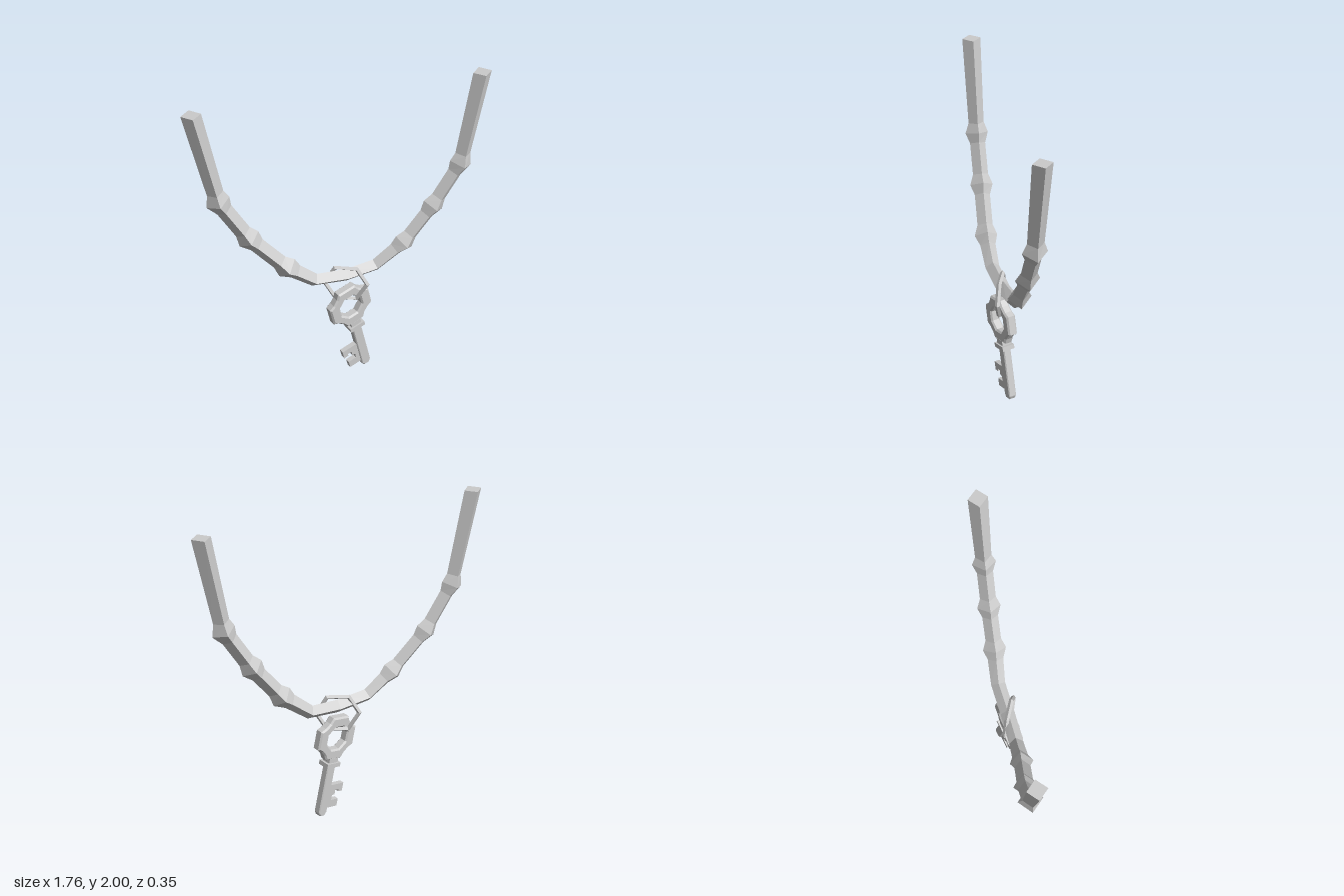
import * as THREE from 'three';

const material = new THREE.MeshStandardMaterial({ color: 0xcccccc, flatShading: true, side: THREE.DoubleSide });
const V = (x, y, z) => new THREE.Vector3(x, y, z);

function add(parent, name, geometry, x = 0, y = 0, z = 0) {
  const mesh = new THREE.Mesh(geometry, material);
  mesh.name = name;
  mesh.position.set(x, y, z);
  parent.add(mesh);
  return mesh;
}

// Loft a diamond section through rings of { p, t, r }
function loftDiamond(rings) {
  const B = V(0.15, 0, 0.99).normalize();
  const pos = [], idx = [];
  for (const { p, t, r } of rings) {
    const n = B.clone().cross(t).normalize();
    const b = t.clone().cross(n).normalize();
    for (const [dn, db] of [[1, 0], [0, 1], [-1, 0], [0, -1]]) {
      const c = p.clone().addScaledVector(n, dn * r).addScaledVector(b, db * r);
      pos.push(c.x, c.y, c.z);
    }
  }
  for (let i = 0; i < rings.length - 1; i++) {
    for (let j = 0; j < 4; j++) {
      const a = i * 4 + j, b = i * 4 + (j + 1) % 4;
      idx.push(a, b, b + 4, a, b + 4, a + 4);
    }
  }
  const e = (rings.length - 1) * 4;
  idx.push(0, 2, 1, 0, 3, 2, e, e + 1, e + 2, e, e + 2, e + 3);
  const g = new THREE.BufferGeometry();
  g.setAttribute('position', new THREE.Float32BufferAttribute(pos, 3));
  g.setIndex(idx);
  const flat = g.toNonIndexed();
  flat.computeVertexNormals();
  return flat;
}

// Hanging cord: the last value marks a knot
function cordGeometry() {
  const path = [
    [-0.825, 2, 0.118, 0], [-0.713, 1.42, 0.1, 1], [-0.55, 1.14, 0.085, 1], [-0.335, 0.9, 0.075, 1],
    [-0.17, 0.772, 0.05, 0], [0.03, 0.753, 0.005, 0], [0.215, 0.772, -0.045, 0],
    [0.39, 0.915, -0.06, 1], [0.565, 1.15, -0.085, 1], [0.722, 1.42, -0.105, 1], [0.82, 2, -0.125, 0],
  ];
  const pts = path.map(([x, y, z]) => V(x, y, z));
  const rings = [];
  pts.forEach((p, i) => {
    if (i === 0 || i === pts.length - 1) {
      rings.push({ p, t: V(0, i === 0 ? -1 : 1, 0), r: 0.056 });
      return;
    }
    const tin = p.clone().sub(pts[i - 1]).normalize();
    const tout = pts[i + 1].clone().sub(p).normalize();
    const t = tin.clone().add(tout).normalize();
    if (!path[i][3]) {
      rings.push({ p, t, r: 0.044 });
      return;
    }
    rings.push({ p: p.clone().addScaledVector(tin, -0.065), t: tin, r: 0.048 });
    rings.push({ p, t, r: 0.071 });
    rings.push({ p: p.clone().addScaledVector(tout, 0.065), t: tout, r: 0.048 });
  });
  return loftDiamond(rings);
}

const polar = (r, deg) => new THREE.Vector2(r * Math.cos(deg * Math.PI / 180), r * Math.sin(deg * Math.PI / 180));

function extrude(shape, depth, bevel) {
  const g = new THREE.ExtrudeGeometry(shape, {
    depth: depth - 2 * bevel, bevelEnabled: bevel > 0, bevelSize: bevel,
    bevelThickness: bevel, bevelOffset: -bevel, bevelSegments: 1,
  });
  return g.translate(0, 0, -depth / 2 + bevel);
}

function buildKey() {
  const key = new THREE.Group();
  key.name = 'key';

  // Four-lobed bow with an octagonal hole
  const outline = [], hole = [];
  for (let a = 0; a < 360; a += 90) {
    outline.push(polar(0.154, a - 23), polar(0.154, a + 23), polar(0.133, a + 36), polar(0.133, a + 54));
  }
  for (let a = 22.5; a < 360; a += 45) hole.push(polar(0.08, a));
  const bow = new THREE.Shape(outline);
  bow.holes.push(new THREE.Path(hole.reverse()));
  add(key, 'bow', extrude(bow, 0.06, 0.01));

  // Neck and collar
  add(key, 'neck', new THREE.BoxGeometry(0.07, 0.05, 0.06), 0, -0.158, 0);
  add(key, 'collar', new THREE.BoxGeometry(0.105, 0.028, 0.08), 0, -0.178, 0);

  // Shaft with chamfered tip
  const shaft = new THREE.Shape([[-0.032, -0.18], [-0.032, -0.515], [-0.018, -0.537],
    [0.018, -0.537], [0.032, -0.515], [0.032, -0.18]].map(([x, y]) => new THREE.Vector2(x, y)));
  add(key, 'shaft', extrude(shaft, 0.05, 0.006));

  // Two teeth joined by a short bar
  const bit = new THREE.Shape([[-0.02, -0.332], [-0.137, -0.332], [-0.137, -0.388], [-0.105, -0.388],
    [-0.105, -0.372], [-0.078, -0.372], [-0.078, -0.405], [-0.058, -0.405], [-0.058, -0.44],
    [-0.115, -0.44], [-0.115, -0.49], [-0.02, -0.49]].map(([x, y]) => new THREE.Vector2(x, y)));
  add(key, 'bit', extrude(bit, 0.032, 0));

  key.rotation.set(0, 0.42, 0.235, 'YXZ');
  key.position.set(0.045, 0.53, 0.015);
  return key;
}

export function createModel() {
  const model = new THREE.Group();
  model.name = 'keyOnCord';
  add(model, 'cord', cordGeometry());

  // Six-sided link joining cord and key
  const link = add(model, 'linkRing', new THREE.TorusGeometry(0.13, 0.015, 4, 6), 0.025, 0.697, 0.015);
  link.rotation.y = -0.25;

  model.add(buildKey());
  return model;
}
